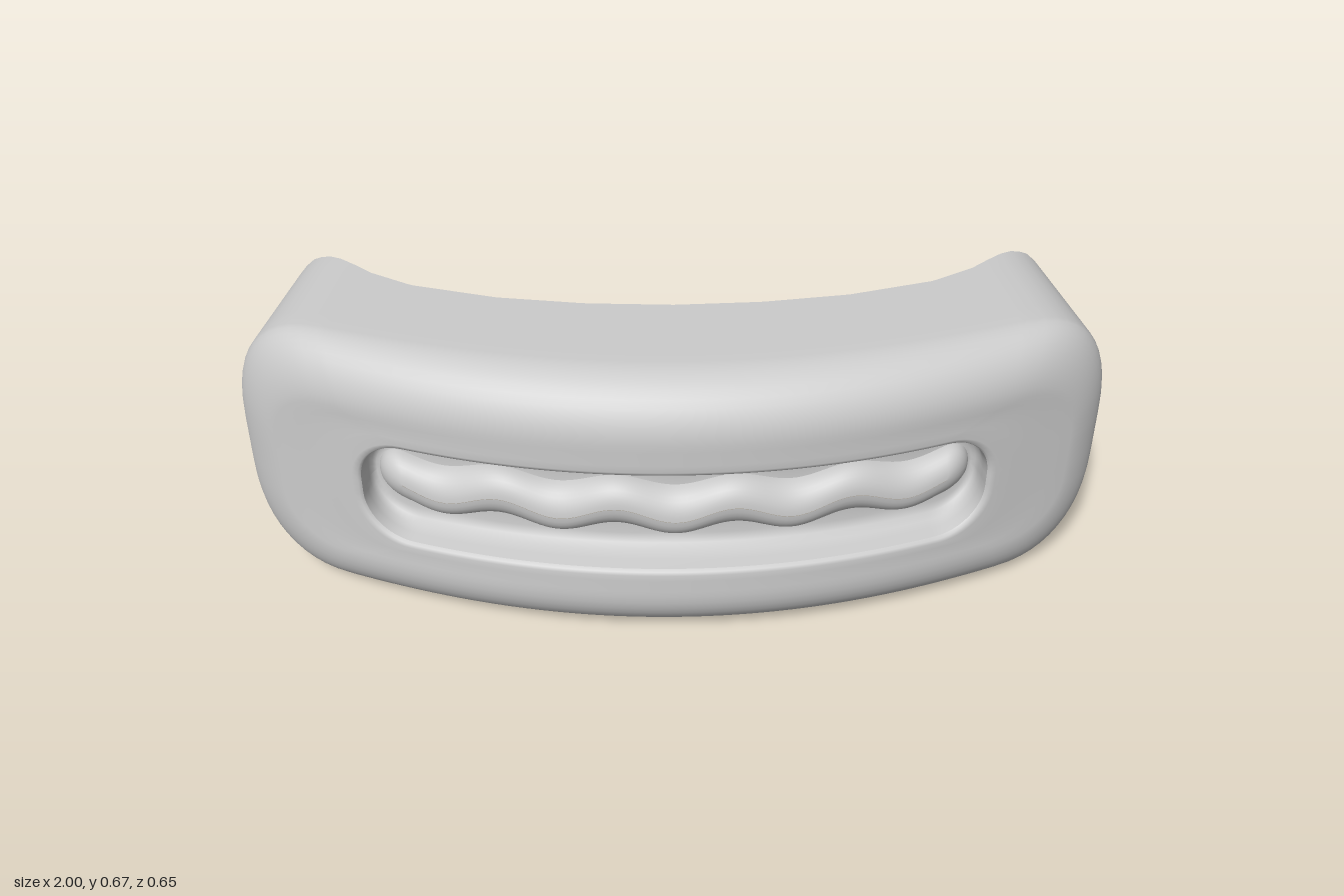
import * as THREE from 'three';

const MID_Y = 0.337;
const lerp = THREE.MathUtils.lerp;

// Bowed front face, depth along z for a given x
const frontZ = (x) => 0.322 - 0.3 * x * x;

// Back rim seen from above, leaning slightly rearwards towards the top
const RIM = [[0, -0.04], [0.2, -0.05], [0.4, -0.08], [0.6, -0.14], [0.7, -0.2],
  [0.8, -0.29], [0.86, -0.33], [0.9, -0.325], [0.95, -0.29]];
function rimZ(x, y) {
  const a = Math.min(Math.abs(x), 0.9499);
  const i = RIM.findIndex((p) => p[0] > a);
  const [p, q] = [RIM[i - 1], RIM[i]];
  return lerp(p[1], q[1], (a - p[0]) / (q[0] - p[0])) + 0.1 * (0.6 - y);
}

// Rounded rectangle, counter-clockwise, with the same point count at every size
function outline(w, h, rx, ry, power = 2) {
  const pts = [];
  const corner = (sx, sy, from) => {
    for (let k = 0; k <= 12; k++) {
      const a = from + (k / 12) * Math.PI / 2;
      const c = Math.abs(Math.cos(a)) ** (2 / power);
      const s = Math.abs(Math.sin(a)) ** (2 / power);
      pts.push([sx * (w - rx + rx * c), sy * (h - ry + ry * s)]);
    }
  };
  const straight = (x0, y0, x1, y1, n) => {
    for (let k = 1; k < n; k++) pts.push([lerp(x0, x1, k / n), lerp(y0, y1, k / n)]);
  };
  const ex = w - rx, ey = h - ry;
  corner(1, 1, 0);
  straight(ex, h, -ex, h, 100);
  corner(-1, 1, Math.PI / 2);
  straight(-w, ey, -w, -ey, 6);
  corner(-1, -1, Math.PI);
  straight(-ex, -h, ex, -h, 100);
  corner(1, -1, Math.PI * 1.5);
  straight(w, -ey, w, ey, 6);
  return pts;
}

const blend = (a, b, t) => a.map((p, i) => p.map((v, k) => lerp(v, b[i][k], t)));

// Skin consecutive closed rings, outermost first
function skin(rings, name) {
  const n = rings[0].length;
  const index = [];
  for (let r = 0; r < rings.length - 1; r++) {
    for (let j = 0; j < n; j++) {
      const a = r * n + j, b = r * n + (j + 1) % n;
      index.push(a, b, b + n, a, b + n, a + n);
    }
  }
  const geo = new THREE.BufferGeometry();
  geo.setAttribute('position', new THREE.Float32BufferAttribute(rings.flat(2), 3));
  geo.setIndex(index);
  geo.computeVertexNormals();
  const mesh = new THREE.Mesh(geo, new THREE.MeshStandardMaterial({
    color: 0xcccccc, roughness: 0.7, side: THREE.DoubleSide }));
  mesh.name = name;
  return mesh;
}

// Ring on the bowed face, sunk by a depth and optionally waved up and down
function faceRing(w, h, rx, ry, depth, wave = 0, power = 2) {
  return outline(w, h, rx, ry, power).map(([x, y]) => [
    x,
    MID_Y - 0.004 + y + wave * Math.cos((x * Math.PI * 2) / 0.262 + Math.PI),
    frontZ(x) - depth,
  ]);
}

export function createModel() {
  const group = new THREE.Group();
  group.name = 'bowedShell';

  // Outer shell: back rim, side wall, rounded front edge, face
  const rim = outline(0.945, 0.337, 0.2, 0.27, 2.4)
    .map(([x, y]) => [x, y + MID_Y, rimZ(x, y + MID_Y)]);
  const edge = [];
  for (let k = 0; k <= 10; k++) {
    const a = (k / 10) * Math.PI / 2;
    const inset = 1 - Math.cos(a), drop = 1 - Math.sin(a);
    edge.push(outline(1 - 0.09 * inset, 0.337 - 0.13 * inset, 0.22 - 0.05 * inset, 0.28 - 0.12 * inset, 2.4)
      .map(([x, y]) => [x, y + MID_Y, frontZ(x) - (0.13 - 0.06 * x ** 4) * drop]));
  }
  const shell = [];
  for (let k = 0; k < 6; k++) shell.push(blend(rim, edge[0], k / 6));
  shell.push(...edge);
  const lip = faceRing(0.725, 0.142, 0.12, 0.12, 0.001);
  for (let k = 1; k <= 4; k++) shell.push(blend(edge[10], lip, k / 4));
  const slotEdge = faceRing(0.705, 0.13, 0.11, 0.11, 0.012);
  shell.push(faceRing(0.712, 0.134, 0.115, 0.115, 0.004), slotEdge);
  group.add(skin(shell, 'outerShell'));

  // Sunken slot around the ridge
  const ridgeFoot = faceRing(0.672, 0.06, 0.06, 0.058, 0.088, 0.012);
  group.add(skin([
    slotEdge,
    faceRing(0.7, 0.126, 0.11, 0.11, 0.04),
    faceRing(0.697, 0.122, 0.105, 0.105, 0.066),
    faceRing(0.69, 0.111, 0.1, 0.1, 0.082),
    faceRing(0.682, 0.09, 0.085, 0.085, 0.09),
    ridgeFoot,
  ], 'slot'));

  // Wavy ridge rising from the slot floor
  const ridge = [ridgeFoot];
  for (let k = 1; k <= 8; k++) {
    const a = (k / 8) * Math.PI / 2;
    const h = Math.max(0.06 * Math.cos(a), 0.0005);
    ridge.push(faceRing(0.612 + h, h, h, h * 0.97, 0.088 - 0.055 * Math.sin(a), 0.012 + 0.005 * Math.sin(a)));
  }
  group.add(skin(ridge, 'wavyRidge'));

  return group;
}
